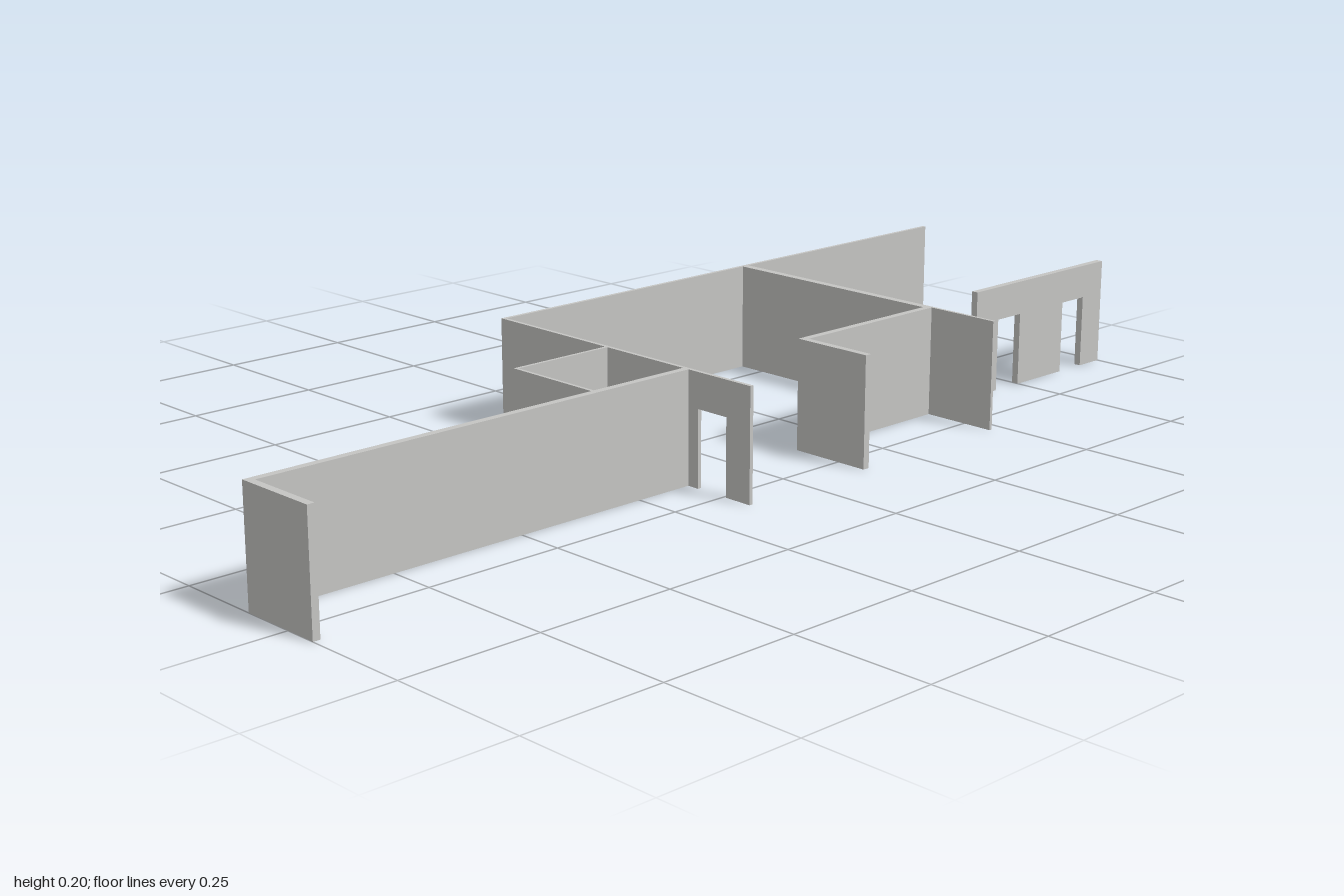
import * as THREE from 'three';

const H = 0.2, DOOR_H = 0.137;

export function createModel() {
  const group = new THREE.Group();
  const plaster = new THREE.MeshStandardMaterial({ color: 0xc4c4c2 });
  plaster.name = 'grey plaster';

  const add = (name, geometry) => {
    const mesh = new THREE.Mesh(geometry, plaster);
    mesh.name = name;
    group.add(mesh);
    return mesh;
  };

  // Upright slab given by its plan rectangle
  const slab = (name, x0, x1, z0, z1, h = H) =>
    add(name, new THREE.BoxGeometry(x1 - x0, h, z1 - z0)
      .translate((x0 + x1) / 2, h / 2, (z0 + z1) / 2));

  // Wall outline from a to b with doorways notched out of its lower edge
  const doorWall = (name, a, b, thickness, doors) => {
    const s = new THREE.Shape();
    s.moveTo(a, 0);
    for (const [d0, d1] of doors) {
      s.lineTo(d0, 0);
      s.lineTo(d0, DOOR_H);
      s.lineTo(d1, DOOR_H);
      s.lineTo(d1, 0);
    }
    s.lineTo(b, 0);
    s.lineTo(b, H);
    s.lineTo(a, H);
    return add(name, new THREE.ExtrudeGeometry(s, { depth: thickness, bevelEnabled: false }));
  };

  // Back wall
  slab('backWall', -0.14, 1, -0.309, -0.302);

  // Long right wing and its end return
  slab('rightWingWall', -0.99, -0.14, 0.154, 0.167);
  slab('rightWingReturn', -1, -0.987, 0.154, 0.309);

  // Closet beside the hall
  slab('closetSideWall', -0.342, -0.336, -0.036, 0.154);
  slab('closetBackWall', -0.342, -0.14, -0.036, -0.03);
  slab('closetFloor', -0.342, -0.14, -0.036, 0.154, 0.002);

  // Hall wall with two doorways, running front to back (shape x becomes -z)
  const hall = doorWall('hallDoorWall', -0.309, 0.302, 0.007, [[-0.255, -0.19], [-0.125, -0.06]]);
  hall.geometry.rotateY(Math.PI / 2).translate(-0.14, 0, 0);

  // Inner room walls
  slab('partitionWall', 0.461, 0.476, -0.302, 0.167);
  slab('partitionFrontReturn', 0.47, 0.476, 0.167, 0.309);
  slab('roomFrontWall', 0.135, 0.461, 0.154, 0.167);
  slab('roomFrontReturn', 0.135, 0.148, 0.167, 0.309);

  // Free-standing wall with two doorways
  const front = doorWall('frontDoorWall', 0.62, 1, 0.013, [[0.684, 0.749], [0.879, 0.943]]);
  front.geometry.translate(0, 0, 0.137);

  return group;
}
